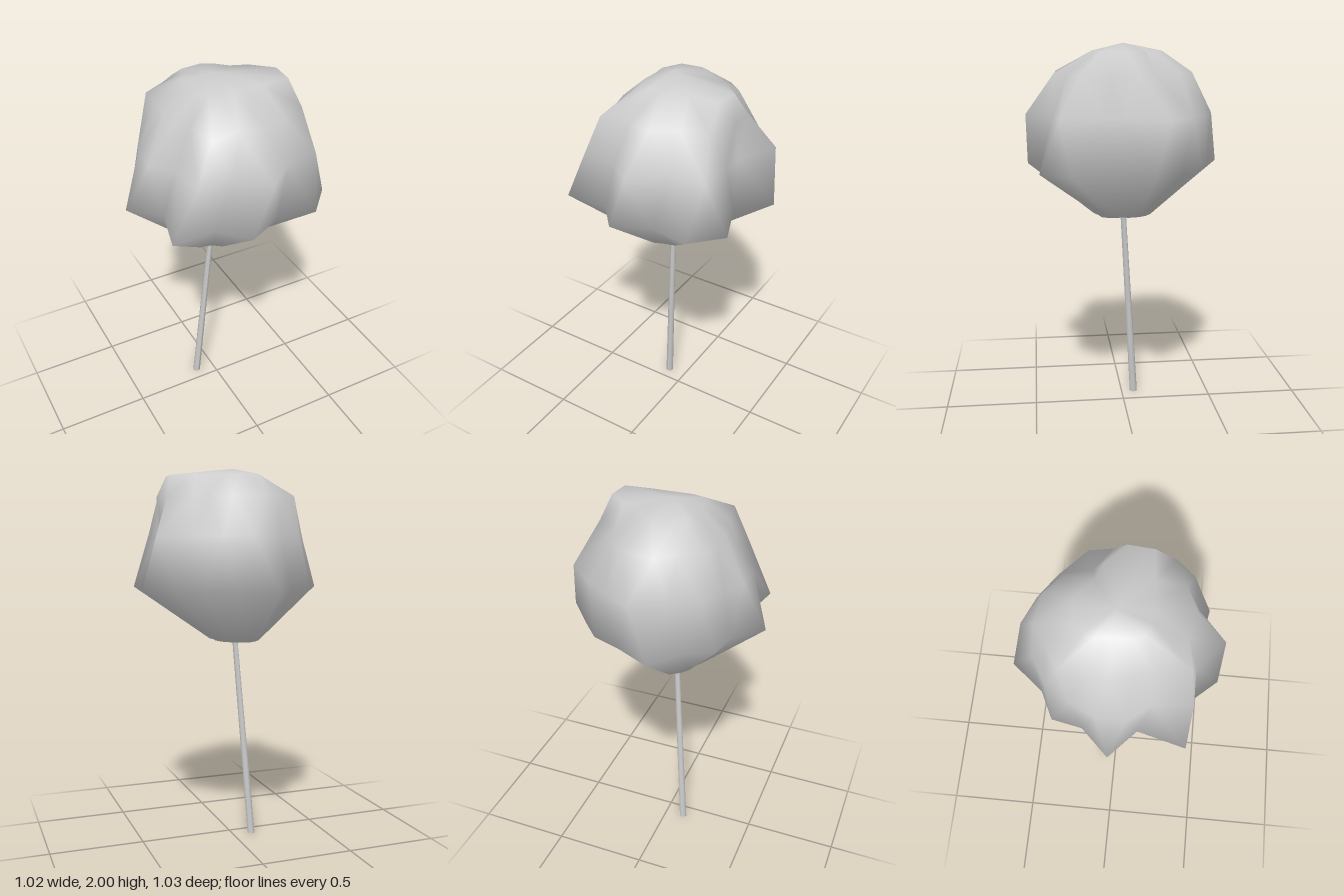
import * as THREE from 'three';

// Column angles (degrees, from +x towards +z) shared by all crown rings
const ANGLES = [-11, 10, 33, 55, 75, 98, 118, 139, 160, 180, 200, 220, 240, 262, 285, 305, 325];

// Crown rings from bottom to top: height, twist in degrees, centre x,
// extra twist of single columns, radius of each lobe and fold
const RINGS = [
  { y: 1.09, twist: 0, x: -0.03, bend: {}, r: [.12, .11, .14, .15, .14, .16, .14, .17, .13, .15, .13, .14, .15, .17, .15, .14, .13] },
  { y: 1.37, twist: 0, x: 0, bend: {}, r: [.515, .37, .545, .55, .43, .515, .42, .57, .39, .51, .40, .45, .41, .52, .44, .456, .45] },
  { y: 1.64, twist: -11, x: 0, bend: { 1: 6 }, r: [.49, .36, .39, .50, .42, .515, .40, .485, .37, .415, .405, .39, .41, .41, .465, .44, .44] },
  { y: 1.85, twist: -18, x: 0, bend: { 14: -6 }, r: [.27, .36, .385, .41, .36, .37, .33, .41, .30, .28, .28, .30, .36, .34, .375, .36, .33] },
  { y: 1.96, twist: -30, x: 0, bend: { 14: -12, 13: -6 }, r: [.17, .23, .32, .34, .22, .17, .16, .17, .18, .16, .14, .14, .17, .18, .21, .20, .18] },
];

function crownGeometry() {
  const n = ANGLES.length;
  const pos = [];
  const index = [];
  for (const ring of RINGS) {
    ANGLES.forEach((deg, i) => {
      const a = THREE.MathUtils.degToRad(deg + ring.twist + (ring.bend[i] ?? 0));
      pos.push(ring.x + Math.cos(a) * ring.r[i], ring.y, Math.sin(a) * ring.r[i]);
    });
  }
  const bottom = RINGS.length * n;
  const top = bottom + 1;
  pos.push(-0.03, 1.075, 0, -0.02, 2, 0);
  for (let i = 0; i < n; i++) {
    const j = (i + 1) % n;
    // Quads are split along the diagonal that follows the twist
    for (let k = 0; k < RINGS.length - 1; k++) {
      const a = k * n + i, b = k * n + j;
      index.push(a, a + n, b + n, a, b + n, b);
    }
    const last = (RINGS.length - 1) * n;
    index.push(bottom, i, j, top, last + j, last + i);
  }
  const geo = new THREE.BufferGeometry();
  geo.setAttribute('position', new THREE.Float32BufferAttribute(pos, 3));
  geo.setIndex(index);
  geo.computeVertexNormals();
  return geo;
}

export function createModel() {
  const grey = new THREE.MeshStandardMaterial({ color: 0xcccccc });
  grey.name = 'light grey';
  const tree = new THREE.Group();
  tree.name = 'tree';

  // Lumpy twisted crown
  const crown = new THREE.Mesh(crownGeometry(), grey);
  crown.name = 'crown';
  tree.add(crown);

  // Thin leaning trunk, with a level foot and top
  const base = new THREE.Vector3(-0.105, 0, -0.07);
  const tip = new THREE.Vector3(-0.03, 1.12, 0);
  const geo = new THREE.CylinderGeometry(0.015, 0.021, tip.y, 8);
  geo.translate(0, tip.y / 2, 0);
  const p = geo.attributes.position;
  for (let i = 0; i < p.count; i++) {
    const t = p.getY(i) / tip.y;
    p.setX(i, p.getX(i) + THREE.MathUtils.lerp(base.x, tip.x, t));
    p.setZ(i, p.getZ(i) + THREE.MathUtils.lerp(base.z, tip.z, t));
  }
  geo.computeVertexNormals();
  const trunk = new THREE.Mesh(geo, grey);
  trunk.name = 'trunk';
  tree.add(trunk);

  return tree;
}
